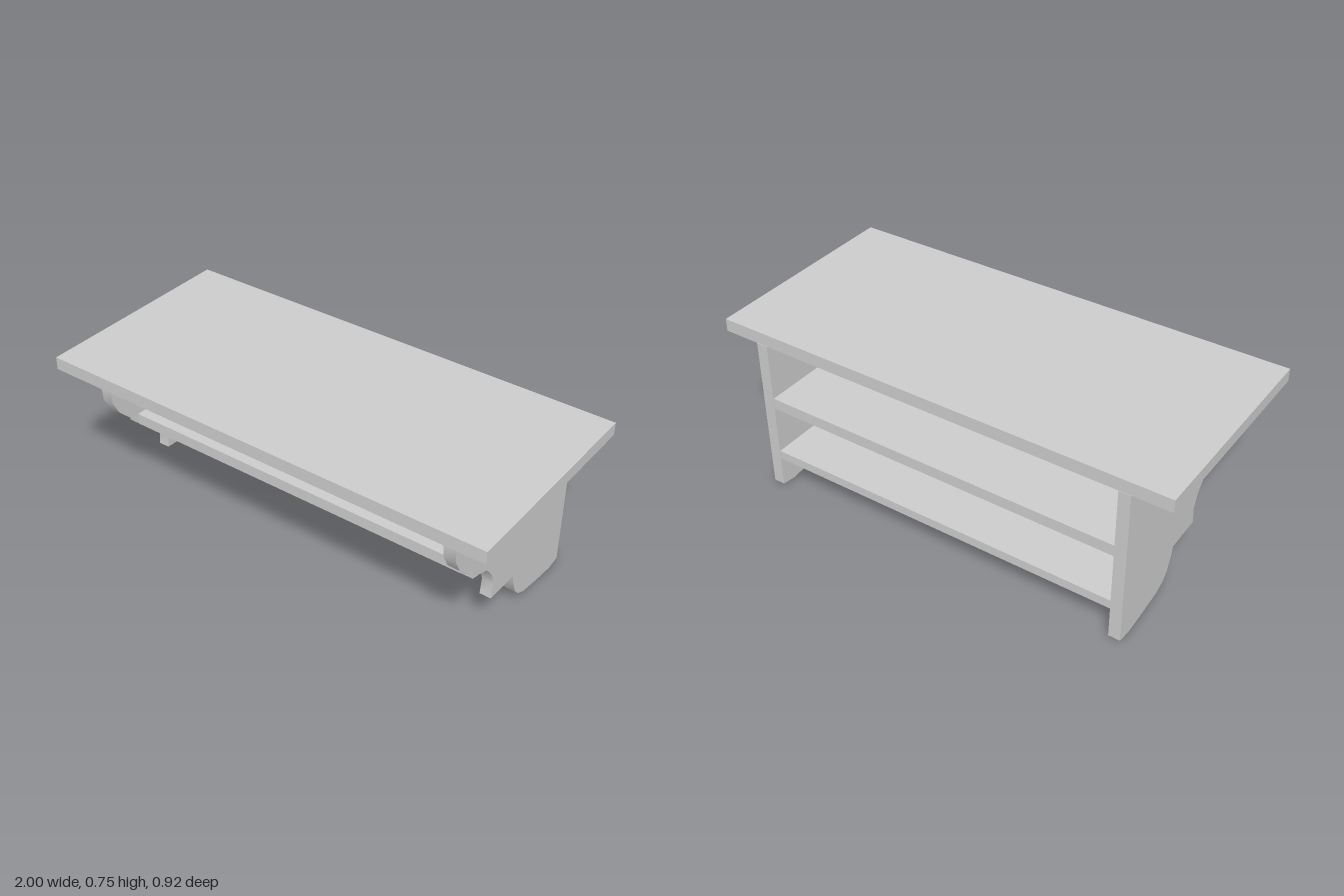
import * as THREE from 'three';
import { toCreasedNormals } from 'three/addons/utils/BufferGeometryUtils.js';

const material = new THREE.MeshStandardMaterial({ color: 0xcccccc });

// Scrolled bracket outline as [z, y], from the top front down to the lower back
const PROFILE = [
  [0.38, 0.7], [0.386, 0.64], [0.379, 0.572], [0.347, 0.512], [0.29, 0.454],
  [0.248, 0.449], [0.245, 0.401], [0.2, 0.39], [0.144, 0.37], [0.1, 0.316],
  [0.08, 0.26], [0.088, 0.19], [-0.075, 0.184], [-0.085, 0.144], [-0.107, 0.087],
  [-0.137, 0.053], [-0.186, 0.03], [-0.295, 0.013], [-0.4, 0.001], [-0.462, 0.01],
  [-0.462, 0.7],
];
const THICKNESS = 0.05;
const SIDE_X = 0.815;

function addMesh(group, name, geometry) {
  const mesh = new THREE.Mesh(geometry, material);
  mesh.name = name;
  group.add(mesh);
  return mesh;
}

// Board given by its width and its y and z ranges
function addBoard(group, name, width, y0, y1, z0, z1) {
  const board = addMesh(group, name, new THREE.BoxGeometry(width, y1 - y0, z1 - z0));
  board.position.set(0, (y0 + y1) / 2, (z0 + z1) / 2);
}

export function createModel() {
  const group = new THREE.Group();
  group.name = 'wallShelf';

  // Overhanging top and the two shelves between the brackets
  const inner = 2 * SIDE_X - THICKNESS;
  addBoard(group, 'topBoard', 2, 0.7, 0.755, -0.46, 0.46);
  addBoard(group, 'middleShelf', inner, 0.401, 0.45, -0.46, 0.246);
  addBoard(group, 'lowerShelf', inner, 0.145, 0.184, -0.46, -0.075);

  // Side brackets, cut from the same outline
  const shape = new THREE.Shape(PROFILE.map(([z, y]) => new THREE.Vector2(z, y)));
  const extruded = new THREE.ExtrudeGeometry(shape, { depth: THICKNESS, bevelEnabled: false });
  extruded.translate(0, 0, -THICKNESS / 2).rotateY(-Math.PI / 2);
  const bracket = toCreasedNormals(extruded, 0.65);
  for (const [name, side] of [['leftBracket', 1], ['rightBracket', -1]]) {
    addMesh(group, name, bracket).position.x = side * SIDE_X;
  }
  return group;
}
